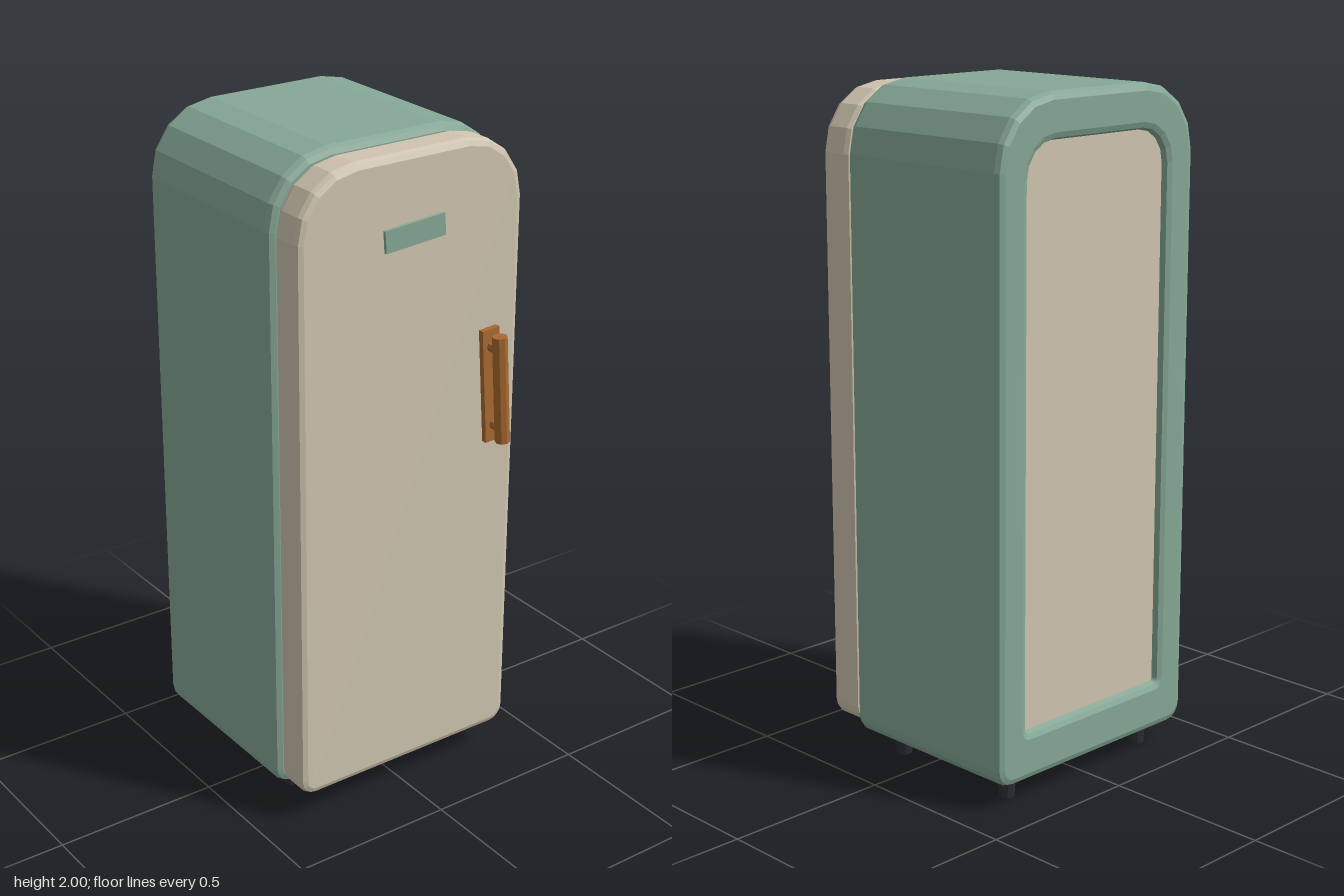
import * as THREE from 'three';

const paint = (name, color) => {
  const m = new THREE.MeshStandardMaterial({ color, flatShading: true });
  m.name = name;
  return m;
};

// Upright panel outline: wide rounded top corners, tight bottom corners
function outline(Path, w, y0, y1, rTop, rBottom) {
  const p = new Path();
  p.absarc(w - rBottom, y0 + rBottom, rBottom, -Math.PI / 2, 0);
  p.absarc(w - rTop, y1 - rTop, rTop, 0, Math.PI / 2);
  p.absarc(-w + rTop, y1 - rTop, rTop, Math.PI / 2, Math.PI);
  p.absarc(-w + rBottom, y0 + rBottom, rBottom, Math.PI, Math.PI * 1.5);
  p.closePath();
  return p;
}

// Extrude between two z planes, with the bevel kept inside the outline
function slab(shape, z0, z1, bevel) {
  const geo = new THREE.ExtrudeGeometry(shape, {
    depth: z1 - z0 - 2 * bevel, curveSegments: 2, bevelEnabled: bevel > 0,
    bevelThickness: bevel, bevelSize: bevel, bevelOffset: -bevel, bevelSegments: 2,
  });
  geo.translate(0, 0, z0 + bevel);
  return geo;
}

export function createModel() {
  const green = paint('sage enamel', 0x86a896);
  const cream = paint('cream enamel', 0xd0c5b0);
  const brown = paint('copper', 0xaa6a30);
  const dark = paint('dark rubber', 0x2c2d33);

  const root = new THREE.Group();
  root.name = 'refrigerator';
  const add = (parent, name, geo, mat, x = 0, y = 0, z = 0) => {
    const mesh = new THREE.Mesh(geo, mat);
    mesh.name = name;
    mesh.position.set(x, y, z);
    parent.add(mesh);
    return mesh;
  };

  // Hollow cabinet with an inset back panel
  const cabinet = outline(THREE.Shape, 0.388, 0.07, 2.0, 0.2, 0.055);
  cabinet.holes.push(outline(THREE.Path, 0.275, 0.215, 1.87, 0.1, 0.01));
  add(root, 'cabinet', slab(cabinet, -0.4, 0.206, 0.022), green);
  add(root, 'backPanel', slab(outline(THREE.Shape, 0.28, 0.21, 1.875, 0.1, 0.01), -0.378, -0.35, 0), cream);

  // Shelves reaching the door
  for (const y of [0.51, 0.95, 1.345]) {
    add(root, 'shelf', new THREE.BoxGeometry(0.44, 0.012, 0.54), cream, 0, y, -0.055);
  }

  // Door
  add(root, 'door', slab(outline(THREE.Shape, 0.377, 0.09, 1.985, 0.19, 0.05), 0.213, 0.324, 0.02), cream);

  // Slightly tilted name plate without lettering
  const plate = add(root, 'plate', new THREE.BoxGeometry(0.2, 0.064, 0.012), green, 0, 1.76, 0.328);
  plate.rotation.z = 0.07;

  // Handle: backing plate, two posts and a grip
  const handle = new THREE.Group();
  handle.name = 'handle';
  handle.position.set(0.277, 1.25, 0);
  handle.rotation.z = 0.07;
  root.add(handle);
  add(handle, 'handlePlate', new THREE.BoxGeometry(0.06, 0.35, 0.02), brown, 0, 0, 0.331);
  for (const y of [-0.122, 0.122]) {
    add(handle, 'handlePost', new THREE.CylinderGeometry(0.016, 0.016, 0.04, 8).rotateX(Math.PI / 2), brown, 0, y, 0.357);
  }
  add(handle, 'handleGrip', new THREE.CylinderGeometry(0.022, 0.022, 0.33, 8), brown, 0, 0, 0.379);

  // Tapered feet
  for (const x of [-0.278, 0.278]) {
    for (const z of [-0.317, 0.117]) {
      add(root, 'foot', new THREE.CylinderGeometry(0.03, 0.023, 0.085, 10), dark, x, 0.0425, z);
    }
  }
  return root;
}
